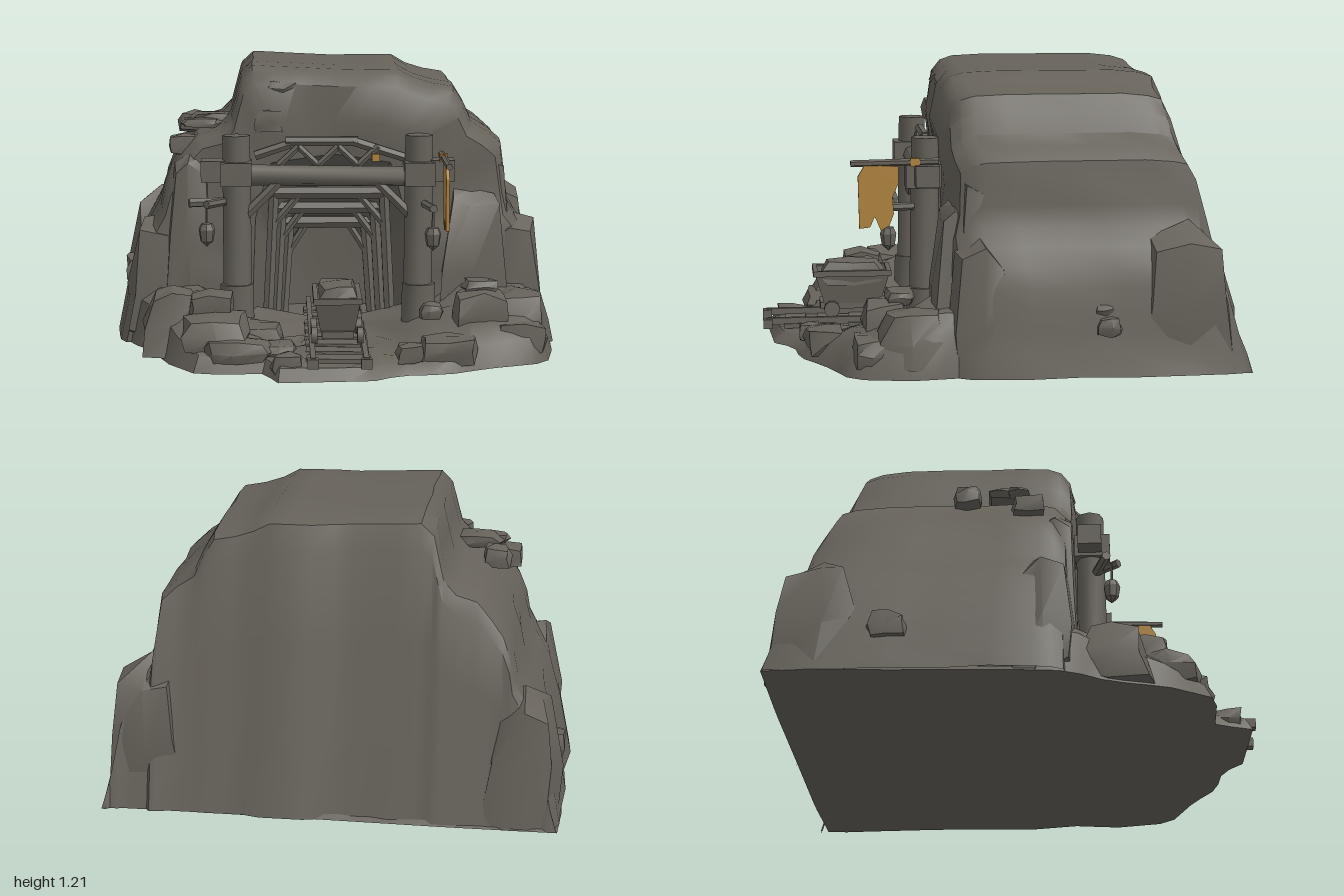
import * as THREE from 'three';
import { toCreasedNormals } from 'three/addons/utils/BufferGeometryUtils.js';

const stone = new THREE.MeshStandardMaterial({ color: 0x66625a });
stone.name = 'grey brown stone and timber';
const cloth = new THREE.MeshStandardMaterial({ color: 0xb08440, side: THREE.DoubleSide });
cloth.name = 'ochre cloth';

const hash = (a, b) => { const s = Math.sin(a * 127.1 + b * 311.7) * 43758.5453; return (s - Math.floor(s)) * 2 - 1; };
const mix = (a, b, t) => a + (b - a) * t;
const clamp01 = t => Math.min(Math.max(t, 0), 1);

// Spreads n points evenly along a polyline
function resample(points, n) {
  const path = new THREE.CurvePath();
  for (let i = 1; i < points.length; i++)
    path.add(new THREE.LineCurve(new THREE.Vector2(...points[i - 1]), new THREE.Vector2(...points[i])));
  return path.getSpacedPoints(n - 1);
}

// Skins a row of cross-sections
function loft(rings, closed, crease = 0.6) {
  const n = rings[0].length, idx = [];
  for (let k = 0; k < rings.length - 1; k++)
    for (let i = 0; i < (closed ? n : n - 1); i++) {
      const j = (i + 1) % n, a = k * n + i, b = k * n + j, c = a + n, d = b + n;
      idx.push(a, c, b, b, c, d);
    }
  const g = new THREE.BufferGeometry();
  g.setAttribute('position', new THREE.Float32BufferAttribute(rings.flat(2), 3));
  g.setIndex(idx);
  return toCreasedNormals(g, crease);
}

export function createModel() {
  const model = new THREE.Group();
  model.name = 'mineEntrance';
  const add = (name, geo, mat = stone, pos = [0, 0, 0]) => {
    const m = new THREE.Mesh(geo, mat);
    m.name = name;
    m.position.set(...pos);
    model.add(m);
    return m;
  };
  const box = (name, w, h, d, pos) => add(name, new THREE.BoxGeometry(w, h, d), stone, pos);
  // Round timber between two points
  const beam = (name, a, b, r, sides = 8) => {
    const p = new THREE.Vector3(...a), q = new THREE.Vector3(...b), dir = q.clone().sub(p);
    const g = toCreasedNormals(new THREE.CylinderGeometry(r * 0.95, r, dir.length(), sides), 0.9);
    const m = add(name, g, stone, p.clone().add(q).multiplyScalar(0.5).toArray());
    m.quaternion.setFromUnitVectors(new THREE.Vector3(0, 1, 0), dir.normalize());
    return m;
  };
  // Chipped rock: a rounded block with shifted corners, narrowing upwards
  const rock = (name, pos, size, seed, taper = 0.1) => {
    const g = new THREE.BoxGeometry(1, 1, 1, 2, 2, 2), p = g.attributes.position, v = new THREE.Vector3();
    for (let i = 0; i < p.count; i++) {
      v.fromBufferAttribute(p, i);
      const key = v.x * 3 + v.y * 7 + v.z * 13 + seed;
      v.multiplyScalar(mix(1, 0.56 / v.length(), 0.55));
      v.set(v.x + 0.08 * hash(key, 1), v.y + 0.08 * hash(key, 2), v.z + 0.08 * hash(key, 3));
      const t = 1 - taper * (v.y + 0.5);
      p.setXYZ(i, v.x * size[0] * t, Math.max(v.y * size[1], 0.01 - pos[1]), v.z * size[2] * t);
    }
    g.deleteAttribute('normal');
    g.deleteAttribute('uv');
    return add(name, toCreasedNormals(g, 0.75), stone, pos);
  };

  // Hill with the tunnel folded into its front
  const N = 41;
  const outline = resample([[-0.94, 0], [-0.89, 0.25], [-0.83, 0.47], [-0.76, 0.56], [-0.72, 0.74], [-0.6, 0.9],
    [-0.46, 0.94], [-0.39, 1.21], [0.02, 1.19], [0.33, 1.19], [0.35, 1.14], [0.53, 1.11], [0.6, 0.94], [0.72, 0.89],
    [0.76, 0.58], [0.83, 0.5], [0.88, 0.38], [0.94, 0]], N);
  const mouth = resample([[-0.36, 0.03], [-0.34, 0.55], [-0.28, 0.79], [0, 0.83], [0.25, 0.79], [0.31, 0.55], [0.33, 0.03]], N);
  const deep = resample([[-0.23, 0.03], [-0.22, 0.3], [-0.13, 0.43], [-0.02, 0.45], [0.09, 0.43], [0.18, 0.3], [0.19, 0.03]], N);
  const backZ = y => -0.98 + 0.26 * y;
  const frontZ = (x, y) => 0.31 - 0.06 * y - 0.12 * x * x;
  // sx and sy shrink the outline sideways and downwards; t runs from back to front
  const section = ([sx, sy, t], k) => outline.map((p, i) => {
    const e = 1 + 0.009 * hash(Math.floor(k / 2), Math.floor(i / 4));
    const x = p.x * sx * e, y = Math.min(p.y * sy, 1.22);
    return [x, y, mix(backZ(y), frontZ(x, y), t) + 0.014 * hash(Math.floor(i / 3), t < 0.5 ? 4 : 9)];
  });
  const hillRings = [[1, 0, 0], [1, 0.25, 0], [1, 0.6, 0], [0.99, 0.9, 0], [0.985, 0.975, 0.02], [1, 0.99, 0.08], [1, 1, 0.2],
    [1.01, 1, 0.4], [0.99, 1, 0.58], [1.01, 1, 0.76], [1, 0.995, 0.9], [0.99, 0.98, 0.96], [0.96, 0.94, 1]].map(section);
  const rim = hillRings[hillRings.length - 1];
  hillRings.push(
    mouth.map((p, i) => {
      const x = mix(rim[i][0], p.x, 0.5), y = mix(rim[i][1], p.y, 0.5);
      return [x, y, frontZ(x, y) + 0.02 * hash(Math.floor(i / 3), 6)];
    }),
    mouth.map(p => [p.x, p.y, 0.24]),
    mouth.map((p, i) => [mix(p.x, deep[i].x, 0.5), mix(p.y, deep[i].y, 0.5), -0.05]),
    deep.map(p => [p.x, p.y, -0.35]),
    deep.map(() => [-0.02, 0.03, -0.38]));
  add('hill', loft(hillRings, false));

  // Ground slab, banked up on both sides of the track
  const foot = resample([[-0.94, -0.99], [-0.95, -0.75], [-0.93, -0.5], [-0.91, 0], [-0.89, 0.22], [-0.78, 0.38], [-0.71, 0.62],
    [-0.58, 0.82], [-0.29, 0.82], [-0.26, 0.98], [0.19, 0.95], [0.22, 0.87], [0.45, 0.85], [0.62, 0.75], [0.88, 0.65],
    [0.93, 0.4], [0.9, 0.22], [0.94, 0], [0.92, -0.4], [0.93, -0.75], [0.94, -0.95], [0.6, -0.97], [0, -0.98], [-0.5, -0.99], [-0.94, -0.99]], 73).slice(0, 72);
  const slab = (s, bank, wob) => foot.map((p, i) => {
    const e = s * (1 + wob * hash(Math.floor(i / 2), 3)), x = p.x * e, z = p.y * e;
    const height = 0.06 + 0.2 * clamp01((Math.abs(x) - 0.2) / 0.35) * clamp01((0.88 - z) / 0.55);
    const rough = 0.02 * hash(Math.floor(i / 2), Math.floor(s * 20));
    return [x, z > 0.15 ? bank * (height + rough) : bank * 0.05, z];
  });
  add('ground', loft([slab(0, 1, 0), slab(0.45, 1, 0), slab(0.6, 1, 0.02), slab(0.75, 1, 0.03), slab(0.88, 1, 0.025),
    slab(0.96, 0.7, 0.01), slab(1, 0, 0), slab(0, 0, 0)], true));

  // Large rocks leaning on the flanks and back corners
  [[0.77, 0.22, 0.11, 0.32, 0.64, 0.32], [0.77, 0.25, -0.73, 0.36, 0.62, 0.46], [-0.78, 0.24, -0.78, 0.34, 0.54, 0.42],
    [-0.73, 0.26, 0.12, 0.38, 0.58, 0.32], [-0.62, 0.42, 0.17, 0.26, 0.8, 0.22], [0.6, 0.32, 0.2, 0.34, 0.76, 0.24],
    [0.76, 0.14, 0.4, 0.34, 0.24, 0.34], [-0.68, 0.13, 0.4, 0.3, 0.28, 0.34], [0.67, 0.42, 0.08, 0.22, 0.82, 0.3]]
    .forEach(([x, y, z, w, h, d], i) => rock('flankRock', [x, y, z], [w, h, d], i + 2, 0.35));

  // Loose stones on the ground and ledges
  [[-0.5, 0.13, 0.62, 0.3, 0.16, 0.28], [-0.42, 0.08, 0.73, 0.28, 0.1, 0.16], [-0.2, 0.05, 0.87, 0.14, 0.1, 0.16],
    [0.62, 0.18, 0.5, 0.24, 0.2, 0.2], [0.45, 0.08, 0.74, 0.26, 0.12, 0.18], [0.78, 0.09, 0.56, 0.22, 0.14, 0.18],
    [0.3, 0.08, 0.8, 0.12, 0.08, 0.1], [0.4, 0.2, 0.53, 0.1, 0.07, 0.09], [-0.32, 0.1, 0.52, 0.2, 0.1, 0.2],
    [0.62, 0.29, 0.44, 0.16, 0.06, 0.12], [-0.52, 0.22, 0.54, 0.2, 0.14, 0.18], [-0.24, 0.07, 0.68, 0.14, 0.07, 0.18],
    [-0.62, 0.92, -0.2, 0.12, 0.09, 0.12], [-0.52, 0.95, -0.05, 0.22, 0.06, 0.14], [-0.58, 0.94, 0.02, 0.18, 0.04, 0.1],
    [-0.22, 1.11, 0.18, 0.13, 0.07, 0.12], [-0.64, 0.85, 0.06, 0.16, 0.09, 0.14], [-0.28, 0.97, 0.2, 0.13, 0.1, 0.14],
    [-0.88, 0.2, -0.5, 0.14, 0.12, 0.16], [0.88, 0.2, -0.4, 0.14, 0.08, 0.11], [0.86, 0.27, -0.38, 0.1, 0.05, 0.08]]
    .forEach(([x, y, z, w, h, d], i) => rock('looseStone', [x, y, z], [w, h, d], i + 30));

  // Entrance posts with collars and stub ends of the lintel
  for (const [x, side] of [[-0.42, -1], [0.36, 1]]) {
    beam('entrancePost', [x - side * 0.005, 0.03, 0.32], [x, 0.92, 0.31], 0.062);
    beam('postFoot', [x, 0.03, 0.32], [x, 0.28, 0.32], 0.075);
    box('postBracket', 0.13, 0.1, 0.15, [x, 0.76, 0.32]);
    box('lintelStub', 0.1, 0.09, 0.1, [x + side * 0.1, 0.77, 0.31]);
    beam('cornerBrace', [x - side * 0.02, 0.56, 0.32], [x - side * 0.18, 0.72, 0.32], 0.024, 6);
  }
  beam('lintel', [-0.42, 0.75, 0.31], [0.36, 0.74, 0.31], 0.045);
  beam('upperBeamLeft', [-0.34, 0.83, 0.29], [-0.19, 0.88, 0.29], 0.022, 6);
  beam('upperBeamMiddle', [-0.21, 0.89, 0.29], [0.1, 0.89, 0.29], 0.022, 6);
  beam('upperBeamRight', [0.08, 0.89, 0.29], [0.3, 0.82, 0.29], 0.022, 6);
  for (let i = 0; i < 5; i++) {
    const x = -0.24 + i * 0.085;
    beam('trussStrut', [x, i % 2 ? 0.87 : 0.79, 0.3], [x + 0.085, i % 2 ? 0.79 : 0.87, 0.3], 0.016, 6);
  }

  // Timber frames inside the tunnel
  [[0.1, 0.27, 0.64], [-0.05, 0.235, 0.55], [-0.2, 0.2, 0.46]].forEach(([z, w, h]) => {
    const c = -0.02;
    for (const s of [-1, 1]) {
      beam('tunnelPost', [c + s * w, 0.04, z], [c + s * (w - 0.03), h, z], 0.026, 6);
      beam('tunnelBrace', [c + s * w * 0.9, h - 0.14, z], [c + s * w * 0.45, h, z], 0.018, 6);
    }
    beam('tunnelCap', [c - w, h, z], [c + w, h, z], 0.03, 6);
  });

  // Track
  for (const x of [-0.105, 0.11]) {
    box('rail', 0.022, 0.03, 1.25, [x, 0.09, 0.36]);
    box('railEnd', 0.045, 0.04, 0.04, [x, 0.08, 0.98]);
  }
  for (let i = 0; i < 8; i++) box('sleeper', 0.26, 0.02, 0.09, [0, 0.07, -0.12 + i * 0.14]).rotation.y = 0.08 * hash(i, 5);

  // Ore cart
  const cart = new THREE.CylinderGeometry(0.141, 0.105, 0.14, 4);
  cart.rotateY(Math.PI / 4).scale(0.95, 1, 1.65);
  add('cartBody', toCreasedNormals(cart, 0.5), stone, [0, 0.225, 0.61]);
  box('cartChassis', 0.13, 0.03, 0.28, [0, 0.145, 0.61]);
  for (const s of [-1, 1]) {
    box('cartRim', 0.02, 0.025, 0.34, [s * 0.09, 0.29, 0.61]);
    box('cartRimEnd', 0.2, 0.025, 0.02, [0, 0.29, 0.61 + s * 0.16]);
    for (const z of [0.52, 0.7]) {
      const wheel = new THREE.CylinderGeometry(0.035, 0.035, 0.025, 10).rotateZ(Math.PI / 2);
      add('cartWheel', toCreasedNormals(wheel, 0.9), stone, [s * 0.095, 0.135, z]);
    }
  }
  rock('oreHeap', [0, 0.29, 0.61], [0.2, 0.11, 0.32], 71, 0.3);

  // Hanging lanterns
  for (const [x, y, z] of [[0.41, 0.5, 0.47], [-0.545, 0.51, 0.4]]) {
    const shade = [[0, -0.055], [0.028, -0.03], [0.036, 0.02], [0.024, 0.045], [0, 0.05]].map(p => new THREE.Vector2(...p));
    add('lantern', toCreasedNormals(new THREE.LatheGeometry(shade, 7), 0.5), stone, [x, y, z]);
    beam('lanternCord', [x, y + 0.04, z], [x, y + 0.13, z], 0.006, 5);
    beam('lanternArm', [x, y + 0.13, z + 0.03], [mix(x, x > 0 ? 0.36 : -0.42, 0.8), y + 0.13, 0.31], 0.018, 6);
  }
  beam('lanternArmBar', [-0.62, 0.64, 0.38], [-0.44, 0.64, 0.33], 0.02, 6);

  // Ragged banner hung below its pole, with a tie around the pole
  beam('bannerPole', [0.46, 0.83, 0.26], [0.465, 0.825, 0.63], 0.015, 6);
  const flag = new THREE.Shape([[0.43, 0.81], [0.57, 0.82], [0.6, 0.77], [0.595, 0.55], [0.55, 0.555], [0.53, 0.6],
    [0.505, 0.54], [0.47, 0.56], [0.45, 0.61], [0.455, 0.68], [0.43, 0.74]].map(p => new THREE.Vector2(...p)));
  const flagGeo = new THREE.ExtrudeGeometry(flag, { depth: 0.014, bevelEnabled: false });
  flagGeo.rotateY(-Math.PI / 2);
  add('banner', flagGeo, cloth, [0.469, 0, 0]);
  add('bannerTie', new THREE.BoxGeometry(0.034, 0.034, 0.04), cloth, [0.461, 0.828, 0.36]);
  add('clothScrap', new THREE.BoxGeometry(0.035, 0.03, 0.03), cloth, [0.175, 0.825, 0.325]);

  return model;
}
